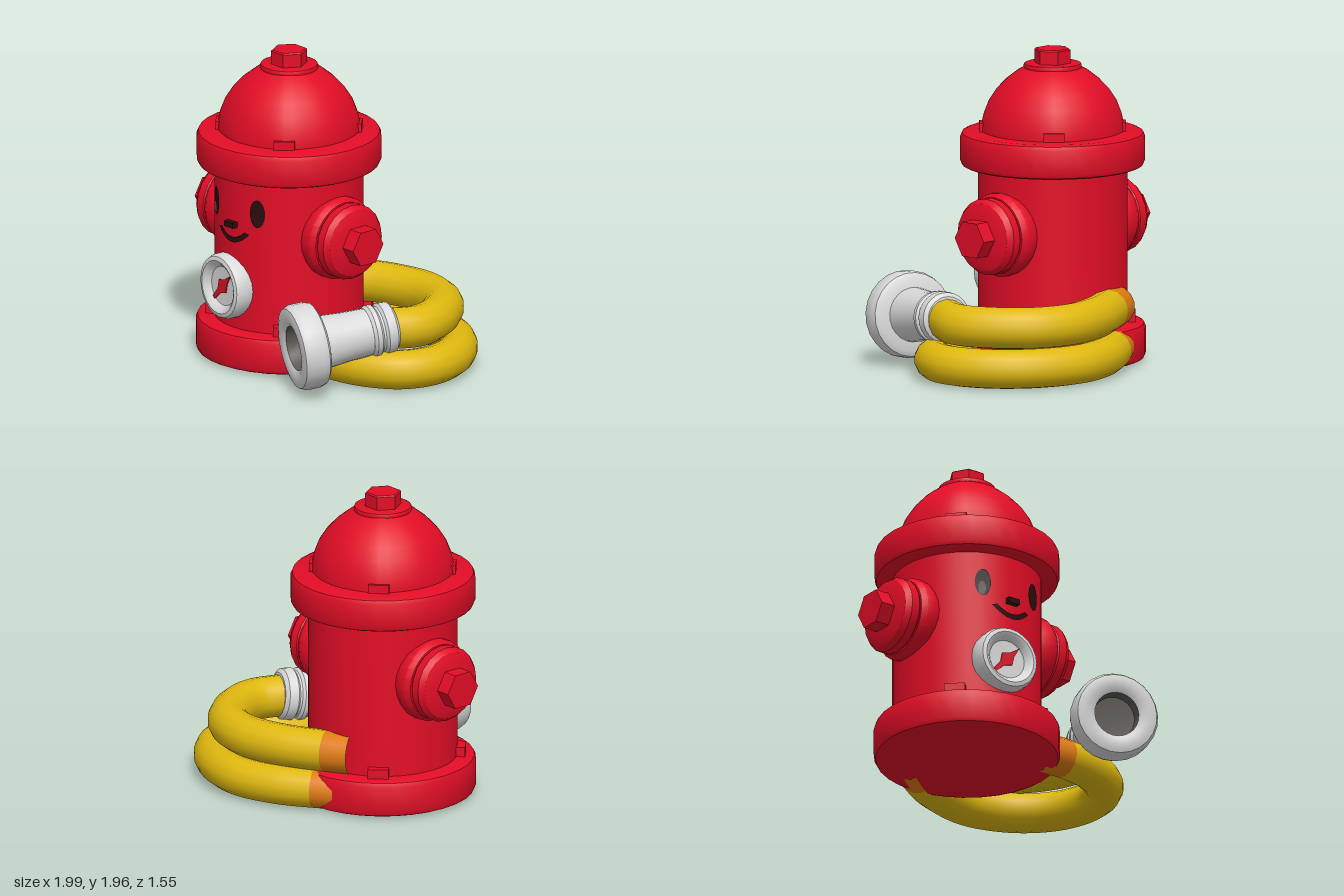
import * as THREE from 'three';
import { toCreasedNormals } from 'three/addons/utils/BufferGeometryUtils.js';

const mat = (name, color, side = THREE.FrontSide) => {
  const m = new THREE.MeshStandardMaterial({ color, side });
  m.name = name;
  return m;
};

export function createModel() {
  const red = mat('hydrant red', 0xe20d26);
  const yellow = mat('hose yellow', 0xdfb80f);
  const orange = mat('hose end orange', 0xe07c12);
  const white = mat('fitting white', 0xd9d9d9);
  const grey = mat('nozzle inside grey', 0x5c5853, THREE.DoubleSide);
  const dark = mat('face dark', 0x2a0d0d, THREE.DoubleSide);
  const needleRed = mat('needle red', 0xd81428, THREE.DoubleSide);

  const model = new THREE.Group();
  model.name = 'hydrantWithHose';
  const hydrant = new THREE.Group();
  hydrant.name = 'hydrant';
  hydrant.position.set(-0.25, 0, 0.09);
  model.add(hydrant);

  const add = (parent, name, geo, material, x = 0, y = 0, z = 0) => {
    const mesh = new THREE.Mesh(geo, material);
    mesh.name = name;
    mesh.position.set(x, y, z);
    parent.add(mesh);
    return mesh;
  };
  const lathe = (pts, segs = 32) =>
    toCreasedNormals(new THREE.LatheGeometry(pts.map(p => new THREE.Vector2(...p)), segs), 0.6);
  // round flange with softened rims
  const flange = (r, y0, y1, b = 0.035) => lathe([[0, y0], [r - b, y0], [r - b * 0.3, y0 + b * 0.3],
    [r, y0 + b], [r, y1 - b], [r - b * 0.3, y1 - b * 0.3], [r - b, y1], [0, y1]]);

  // barrel
  const R = 0.465;
  add(hydrant, 'baseFlange', flange(0.58, 0.015, 0.25), red);
  add(hydrant, 'barrel', lathe([[0, 0.2], [R, 0.2], [R, 1.3], [0, 1.3]], 40), red);
  add(hydrant, 'topFlange', flange(0.575, 1.23, 1.45), red);

  // dome with four soft diagonal ribs
  const profile = [[0.437, 1.43], [0.437, 1.48], [0.42, 1.56], [0.39, 1.64], [0.345, 1.71],
    [0.285, 1.775], [0.215, 1.83], [0.16, 1.86]];
  const dome = new THREE.LatheGeometry(profile.map(p => new THREE.Vector2(...p)), 48);
  const dp = dome.attributes.position;
  for (let i = 0; i < dp.count; i++) {
    const a = Math.atan2(dp.getX(i), dp.getZ(i));
    const s = 0.985 + 0.035 * Math.pow(Math.abs(Math.sin(2 * a)), 8);
    dp.setX(i, dp.getX(i) * s);
    dp.setZ(i, dp.getZ(i) * s);
  }
  add(hydrant, 'dome', toCreasedNormals(dome, 0.6), red);
  add(hydrant, 'domeCollar', flange(0.18, 1.835, 1.877, 0.012), red);
  const nut = lathe([[0, 1.86], [0.115, 1.86], [0.115, 1.96], [0.105, 1.968], [0, 1.968]], 6);
  add(hydrant, 'topNut', nut, red).rotation.y = Math.PI / 6;

  // small lugs at the foot of the dome and of the barrel
  for (let i = 0; i < 4; i++) {
    const a = Math.PI / 4 + i * Math.PI / 2;
    for (const [name, r, y] of [['domeLug', 0.405, 1.47], ['baseLug', 0.465, 0.275]]) {
      const lug = add(hydrant, name, new THREE.BoxGeometry(0.13, 0.07, 0.1), red,
        Math.sin(a) * r, y, Math.cos(a) * r);
      lug.rotation.y = a;
    }
  }

  // side outlets with six-sided nuts
  for (const s of [-1, 1]) {
    const outlet = new THREE.Group();
    outlet.name = s > 0 ? 'leftOutlet' : 'rightOutlet';
    outlet.position.y = 0.85;
    outlet.rotation.z = -s * Math.PI / 2;
    hydrant.add(outlet);
    add(outlet, 'outletRing', lathe([[0, 0.38], [0.24, 0.38], [0.262, 0.43], [0.262, 0.49],
      [0.24, 0.525], [0, 0.53]], 24), red);
    add(outlet, 'outletCap', lathe([[0, 0.5], [0.215, 0.51], [0.24, 0.54], [0.24, 0.595],
      [0.215, 0.63], [0.16, 0.65], [0, 0.65]], 20), red);
    add(outlet, 'outletNut', lathe([[0, 0.62], [0.125, 0.62], [0.125, 0.748], [0, 0.75]], 6), red);
  }

  // face: thin plates wrapped on the barrel
  const plate = (name, shape, x, y) => {
    const geo = new THREE.ShapeGeometry(shape, 16);
    geo.translate(x, y, 0);
    const p = geo.attributes.position;
    for (let i = 0; i < p.count; i++) p.setZ(i, Math.sqrt(R * R - p.getX(i) ** 2) + 0.008);
    geo.computeVertexNormals();
    return add(hydrant, name, geo, dark);
  };
  const ellipse = (w, h) => new THREE.Shape().absellipse(0, 0, w, h, 0, Math.PI * 2);
  for (const s of [-1, 1]) plate(s > 0 ? 'leftEye' : 'rightEye', ellipse(0.047, 0.09), s * 0.192, 1.025);
  const glint = plate('rightEyeGlint', ellipse(0.022, 0.045), -0.2, 0.985);
  glint.material = grey;
  glint.position.z = 0.004;
  add(hydrant, 'nose', new THREE.BoxGeometry(0.08, 0.036, 0.05), dark, 0, 0.925, 0.475);
  const smile = new THREE.Shape();
  smile.moveTo(-0.14, 0.045);
  smile.quadraticCurveTo(0, -0.1, 0.14, 0.045);
  smile.lineTo(0.105, 0.055);
  smile.quadraticCurveTo(0, -0.04, -0.105, 0.055);
  plate('smile', smile, 0, 0.835);

  // pressure gauge
  const gauge = new THREE.Group();
  gauge.name = 'gauge';
  gauge.position.set(-0.05, 0.51, 0.44);
  gauge.rotation.y = -0.1;
  hydrant.add(gauge);
  add(gauge, 'gaugeBody', lathe([[0, -0.06], [0.19, -0.06], [0.208, -0.02], [0.208, 0.06],
    [0.195, 0.09], [0.17, 0.097], [0.15, 0.085], [0.125, 0.055], [0, 0.05]], 24), white)
    .rotation.x = Math.PI / 2;
  const needle = new THREE.Shape([[0.125, 0], [0.05, 0.018], [0, 0.05], [-0.05, 0.018], [-0.13, 0.012],
    [-0.13, -0.012], [-0.05, -0.02], [0, -0.05], [0.05, -0.018]].map(p => new THREE.Vector2(...p)));
  add(gauge, 'needle', new THREE.ExtrudeGeometry(needle, { depth: 0.008, bevelEnabled: false }),
    needleRed, 0, 0, 0.056).rotation.z = 0.8;

  // hose: two stacked loops, orange where they meet the hydrant
  const hose = (name, pts, radius, start, end) => {
    const curve = new THREE.CatmullRomCurve3(pts.map(p => new THREE.Vector3(...p)));
    const n = 60, k = 14;
    const geo = new THREE.TubeGeometry(curve, n, radius, k);
    const cut = k * 6;
    geo.addGroup(0, start * cut, 1);
    geo.addGroup(start * cut, (n - start - end) * cut, 0);
    geo.addGroup((n - end) * cut, end * cut, 1);
    return add(model, name, geo, [yellow, orange]);
  };
  const lowY = 0.13, highY = 0.37;
  hose('lowerHose', [[-0.38, lowY, -0.33], [-0.25, lowY, -0.43], [0, lowY, -0.58], [0.3, lowY, -0.645],
    [0.6, lowY, -0.55], [0.8, lowY, -0.35], [0.87, lowY, -0.1], [0.8, lowY, 0.1],
    [0.6, lowY, 0.23], [0.38, lowY, 0.275], [0.2, lowY, 0.27]], 0.124, 5, 4);
  hose('upperHose', [[-0.4, highY, -0.3], [-0.25, highY, -0.385], [0, highY, -0.51], [0.3, highY, -0.565],
    [0.55, highY, -0.48], [0.73, highY, -0.25], [0.765, highY, -0.07], [0.69, 0.375, 0.12]], 0.131, 6, 0);

  // nozzle, pointing forward and slightly down
  const from = new THREE.Vector3(0.705, 0.385, 0.08);
  const dir = new THREE.Vector3(0.465, 0.31, 0.7).sub(from);
  const L = dir.length();
  const nozzle = new THREE.Group();
  nozzle.name = 'nozzle';
  nozzle.position.copy(from);
  nozzle.quaternion.setFromUnitVectors(new THREE.Vector3(0, 1, 0), dir.normalize());
  model.add(nozzle);
  add(nozzle, 'coupling', lathe([[0, -0.01], [0.135, -0.01], [0.16, 0.01], [0.165, 0.07], [0.148, 0.085],
    [0.148, 0.1], [0.165, 0.115], [0.165, 0.145], [0.15, 0.165], [0, 0.165]], 24), white);
  add(nozzle, 'nozzleShaft', lathe([[0, 0.12], [0.148, 0.13], [0.155, 0.3], [0.175, L - 0.14],
    [0, L - 0.12]], 24), white);
  add(nozzle, 'nozzleHead', lathe([[0.13, L - 0.185], [0.23, L - 0.185], [0.262, L - 0.165], [0.272, L - 0.13],
    [0.272, L - 0.045], [0.255, L - 0.01], [0.22, L], [0.17, L - 0.005], [0.142, L - 0.02]], 24), white);
  add(nozzle, 'nozzleBore', lathe([[0.142, L - 0.02], [0.135, L - 0.1], [0, L - 0.11]], 24), grey);
  return model;
}
